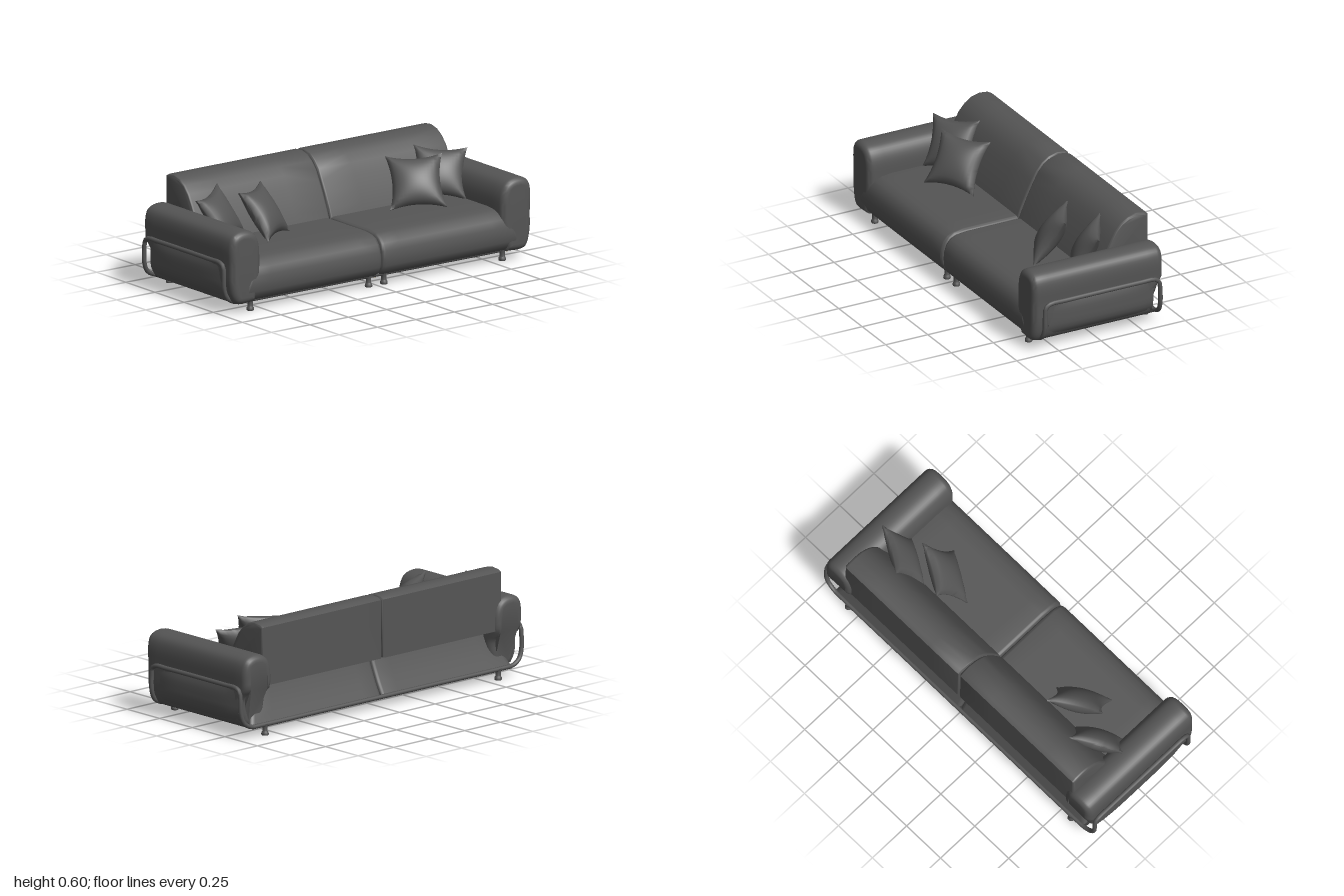
import * as THREE from 'three';
import { mergeVertices, toCreasedNormals } from 'three/addons/utils/BufferGeometryUtils.js';

const v2 = (p) => new THREE.Vector2(p[0], p[1]);

// Smooth shading with creases; optionally reflected across x = 0
function soften(source, flip, crease = 0.9) {
  const bare = source.clone();
  bare.deleteAttribute('uv');
  bare.deleteAttribute('normal');
  bare.clearGroups();
  const geo = mergeVertices(bare, 1e-4);
  if (flip) {
    geo.scale(-1, 1, 1);
    const idx = geo.index;
    for (let i = 0; i < idx.count; i += 3) {
      const a = idx.getX(i);
      idx.setX(i, idx.getX(i + 2));
      idx.setX(i + 2, a);
    }
  }
  return toCreasedNormals(geo, crease);
}

// Moves every vertex by a rule
function deform(geo, rule) {
  const pos = geo.attributes.position;
  const v = new THREE.Vector3();
  for (let i = 0; i < pos.count; i++) {
    rule(v.fromBufferAttribute(pos, i));
    pos.setXYZ(i, v.x, v.y, v.z);
  }
  return geo;
}

// Padded block: outline extruded from 0 to length, with rounded ends
function padded(points, length, round, steps = 1) {
  return new THREE.ExtrudeGeometry(new THREE.Shape(points), {
    depth: length - 2 * round, steps, bevelEnabled: true, bevelThickness: round,
    bevelSize: round, bevelOffset: -round, bevelSegments: 5,
  }).translate(0, 0, round);
}

// Block with a (z, y) profile running along +x from x0 to x1
function alongX(profile, x0, x1, round, steps) {
  const pts = profile.map(([z, y]) => new THREE.Vector2(-z, y));
  return padded(pts, x1 - x0, round, steps).rotateY(Math.PI / 2).translate(x0, 0, 0);
}

// Pillow: thick in the middle, with pinched edges and pointed corners
function pillow(size, depth) {
  const geo = new THREE.BoxGeometry(2, 2, 2, 14, 14, 1);
  return deform(geo, (p) => {
    const { x, y } = p;
    const full = Math.pow(Math.max(0, (1 - x * x) * (1 - y * y)), 0.55);
    p.set(x * size * (1 - 0.16 * (1 - y * y)), y * size * (1 - 0.16 * (1 - x * x)),
      p.z * (0.004 + depth * full));
  });
}

export function createModel() {
  const sofa = new THREE.Group();
  sofa.name = 'sofa';
  const material = (name, color) => {
    const m = new THREE.MeshStandardMaterial({ color });
    m.name = name;
    return m;
  };
  const fabric = material('grey fabric', 0x555555);
  const lining = material('dark lining', 0x333333);
  const wood = material('wood', 0x8a7b5f);

  const add = (name, geo, mat) => {
    const mesh = new THREE.Mesh(geo, mat);
    mesh.name = name;
    sofa.add(mesh);
  };
  const addPair = (name, geo, mat, crease) => {
    add('left' + name, soften(geo, false, crease), mat);
    add('right' + name, soften(geo, true, crease), mat);
  };

  // Seats, widening towards the floor beside the arms
  const seat = alongX([
    [-0.365, 0.06], [0.345, 0.058], [0.37, 0.075], [0.385, 0.11], [0.388, 0.15], [0.384, 0.19],
    [0.37, 0.23], [0.345, 0.258], [0.31, 0.273], [0.25, 0.28], [-0.27, 0.28], [-0.29, 0.22], [-0.33, 0.13],
  ], 0.001, 0.82, 0.022, 8);
  deform(seat, (p) => { p.x += Math.max(0, p.x - 0.5) / 0.32 * (0.28 - p.y) * 0.45; });
  addPair('Seat', seat, fabric);

  // Back cushions
  const back = alongX([
    [-0.37, 0.265], [-0.06, 0.265], [-0.08, 0.32], [-0.115, 0.40], [-0.145, 0.46], [-0.175, 0.515],
    [-0.21, 0.555], [-0.25, 0.582], [-0.3, 0.595], [-0.345, 0.59], [-0.368, 0.578],
  ], 0.001, 0.843, 0.014, 4);
  addPair('BackCushion', back, fabric);

  // Arms: a fat roll on top, tucked in at the lower rear
  const armOutline = new THREE.SplineCurve([
    [0.82, 0.055], [0.92, 0.052], [0.958, 0.085], [0.974, 0.16], [0.976, 0.27], [0.978, 0.36],
    [0.962, 0.415], [0.92, 0.439], [0.86, 0.439], [0.815, 0.415], [0.79, 0.36], [0.785, 0.28],
    [0.79, 0.16], [0.82, 0.055],
  ].map(v2)).getPoints(52).slice(0, -1);
  const arm = padded(armOutline, 0.772, 0.036, 12).translate(0, 0, -0.387);
  deform(arm, (p) => {
    const low = THREE.MathUtils.smoothstep(0.27 - p.y, 0, 0.07);
    if (p.z < -0.3) p.z += low * 0.05;
  });
  addPair('Arm', arm, fabric);

  // Softly bulging side panels inside the frame
  const panel = new THREE.BoxGeometry(0.04, 0.2, 0.62, 1, 8, 12).translate(0.955, 0.167, -0.015);
  deform(panel, (p) => {
    const a = (p.y - 0.167) / 0.1, b = (p.z + 0.015) / 0.31;
    if (p.x > 0.96) p.x += 0.013 * (1 - a ** 4) * (1 - b ** 4) - 0.002;
    p.x -= 0.05 * Math.max(0, -a - 0.2) ** 2;
  });
  addPair('SidePanel', panel, fabric);

  // Tubular frame: hoop outside each arm, running on under the front and rear edges
  const half = [
    [0.4, 0.058, 0.33], [0.87, 0.058, 0.33], [0.92, 0.06, 0.33], [0.965, 0.085, 0.328],
    [0.985, 0.13, 0.326], [0.988, 0.22, 0.325], [0.988, 0.255, 0.32], [0.988, 0.272, 0.295],
    [0.988, 0.274, 0.2], [0.988, 0.274, -0.24], [0.988, 0.272, -0.325], [0.988, 0.255, -0.35],
    [0.988, 0.22, -0.357], [0.985, 0.13, -0.36], [0.965, 0.085, -0.362], [0.92, 0.06, -0.365],
    [0.87, 0.058, -0.366], [0.4, 0.058, -0.366],
  ];
  const loop = [...half, ...half.slice().reverse().map(([x, y, z]) => [-x, y, z])];
  const path = new THREE.CatmullRomCurve3(loop.map((p) => new THREE.Vector3(...p)), true, 'centripetal');
  add('tubeFrame', new THREE.TubeGeometry(path, 260, 0.012, 10, true), fabric);

  // Turned feet
  const footProfile = [[0, 0], [0.018, 0], [0.02, 0.004], [0.019, 0.014], [0.014, 0.022], [0.014, 0.045], [0.018, 0.062], [0, 0.062]];
  const foot = new THREE.LatheGeometry(footProfile.map(v2), 16);
  for (const [x, z] of [[0.82, 0.33], [0.05, 0.33], [0.82, -0.362]]) {
    addPair(`Foot${x < 0.1 ? 'Middle' : z > 0 ? 'Front' : 'Rear'}`, foot.clone().translate(x, 0, z), fabric, 0.6);
  }

  // Underside lining and wooden runners
  add('undersideLining', new THREE.BoxGeometry(1.84, 0.006, 0.7).translate(0, 0.053, -0.015), lining);
  for (const x of [-0.86, 0, 0.86]) {
    const runner = new THREE.CylinderGeometry(0.011, 0.011, 0.48, 12).rotateX(Math.PI / 2);
    add('woodenRunner', runner.translate(x, 0.049, 0.08), wood);
  }

  // Scatter pillows leaning into each corner
  const place = (size, depth, position, yaw, pitch, roll) => {
    const turn = new THREE.Quaternion().setFromEuler(new THREE.Euler(pitch, yaw, roll, 'YXZ'));
    return pillow(size, depth).applyMatrix4(
      new THREE.Matrix4().compose(new THREE.Vector3(...position), turn, new THREE.Vector3(1, 1, 1)));
  };
  addPair('InnerPillow', place(0.148, 0.055, [-0.495, 0.408, 0.02], 0.56, -0.6, -0.04), fabric, 1.2);
  addPair('OuterPillow', place(0.142, 0.05, [-0.715, 0.405, -0.065], 0.48, -0.55, 0.1), fabric, 1.2);

  return sofa;
}
